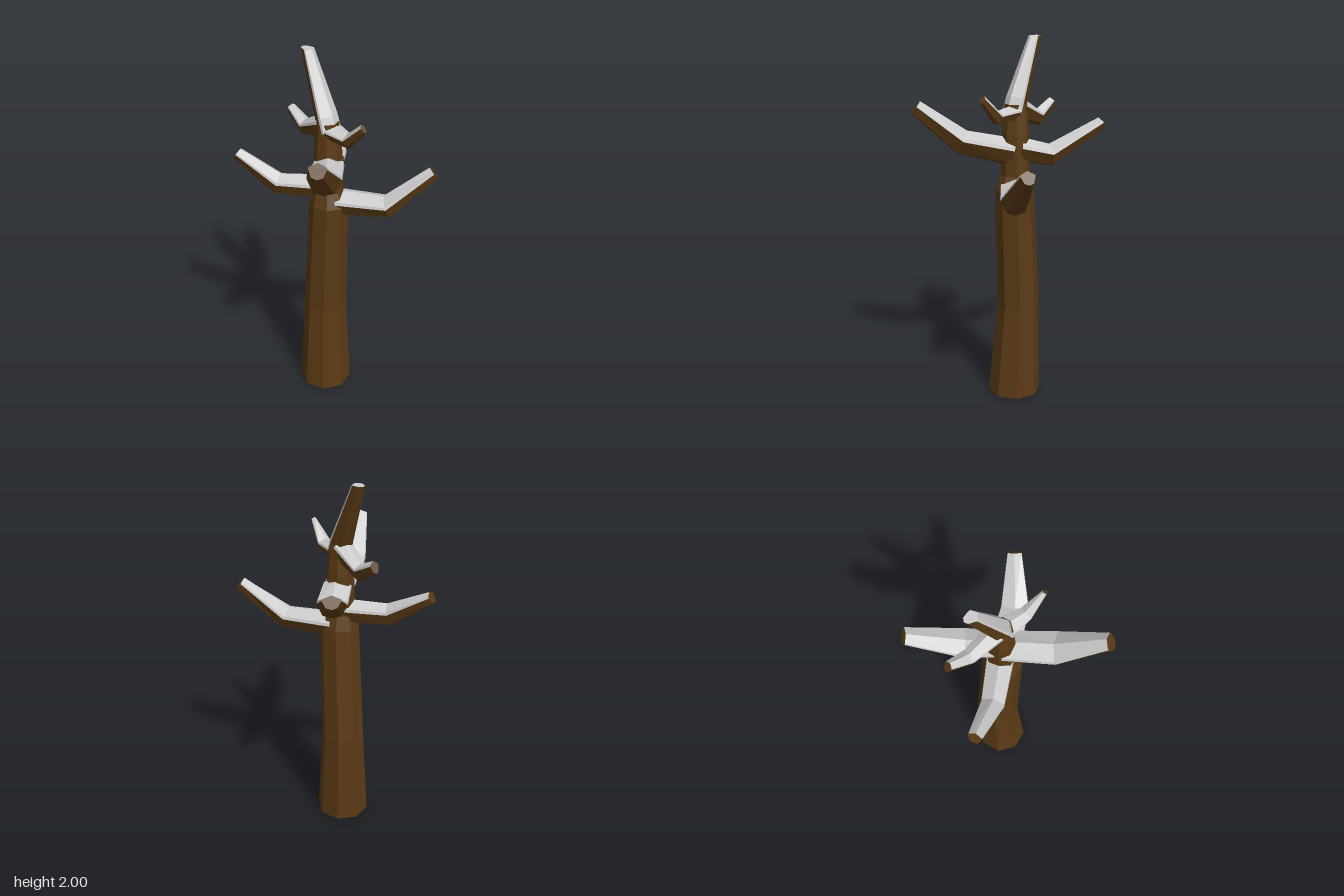
import * as THREE from 'three';

const bark = new THREE.MeshStandardMaterial({ color: 0x5a3a15, flatShading: true });
const snow = new THREE.MeshStandardMaterial({ color: 0xcccccc, flatShading: true });

// Skins a stack of rings; isSnow(i) decides which side strips are snowy.
function loft(name, rings, isSnow, snowyEnd = false) {
  const faces = { bark: [], snow: [] };
  const add = (snowy, ...pts) => pts.forEach(p => faces[snowy ? 'snow' : 'bark'].push(p.x, p.y, p.z));
  const n = rings[0].length;
  for (let r = 0; r < rings.length - 1; r++) {
    const a = rings[r], b = rings[r + 1];
    for (let i = 0; i < n; i++) {
      const j = (i + 1) % n;
      add(isSnow(i), a[i], a[j], b[j]);
      add(isSnow(i), a[i], b[j], b[i]);
    }
  }
  const first = rings[0], last = rings[rings.length - 1];
  for (let i = 1; i < n - 1; i++) {
    add(false, first[0], first[i + 1], first[i]);
    add(snowyEnd, last[0], last[i], last[i + 1]);
  }
  const group = new THREE.Group();
  group.name = name;
  for (const [kind, pos] of Object.entries(faces)) {
    if (!pos.length) continue;
    const geo = new THREE.BufferGeometry();
    geo.setAttribute('position', new THREE.Float32BufferAttribute(pos, 3));
    geo.computeVertexNormals();
    const mesh = new THREE.Mesh(geo, kind === 'snow' ? snow : bark);
    mesh.name = name + (kind === 'snow' ? 'Snow' : 'Bark');
    group.add(mesh);
  }
  return group;
}

// Branch cross-section (side, up), counter-clockwise; the first four strips carry snow.
const section = [[1, 0.25], [0.95, 0.5], [0, 1], [-0.95, 0.5], [-1, 0.25], [-0.62, -0.75], [0, -1], [0.62, -0.75]];

// Stations are [x, y, z, half width, half height].
function branch(name, stations, flatTopY) {
  const pts = stations.map(s => new THREE.Vector3(s[0], s[1], s[2]));
  const step = k => pts[k + 1].clone().sub(pts[k]).normalize();
  const rings = stations.map(([, , , w, h], k) => {
    const dir = new THREE.Vector3();
    if (k > 0) dir.add(step(k - 1));
    if (k < pts.length - 1) dir.add(step(k));
    dir.normalize();
    const side = new THREE.Vector3(0, 1, 0).cross(dir).normalize();
    const up = dir.clone().cross(side);
    return section.map(([u, v]) => {
      const p = pts[k].clone().addScaledVector(side, u * w).addScaledVector(up, v * h);
      // slide the last ring along the branch to a level cut
      if (flatTopY && k === pts.length - 1) p.addScaledVector(dir, (flatTopY - p.y) / dir.y);
      return p;
    });
  });
  return loft(name, rings, i => i < 4, !!flatTopY);
}

export function createModel() {
  const tree = new THREE.Group();
  tree.name = 'bareTree';

  // Eight-sided trunk: [y, centre x, centre z, radius]
  const trunk = [
    [0, -0.022, -0.007, 0.147],
    [0.53, -0.008, -0.026, 0.118],
    [1.2, -0.008, 0.006, 0.105],
    [1.28, -0.008, 0, 0.08],
    [1.5, -0.006, -0.002, 0.073],
    [1.66, -0.008, -0.005, 0.06],
  ].map(([y, cx, cz, r]) => Array.from({ length: 8 }, (_, i) => {
    const a = i * Math.PI / 4;
    return new THREE.Vector3(cx + r * Math.cos(a), y, cz - r * Math.sin(a));
  }));
  tree.add(loft('trunk', trunk, () => false));

  // Leaning top shoot with a level cut
  tree.add(branch('topShoot', [
    [-0.008, 1.61, 0.01, 0.06, 0.055],
    [-0.008, 1.68, -0.018, 0.059, 0.057],
    [-0.006, 2.0, -0.163, 0.03, 0.034],
  ], 2.0));

  // Four large branches
  tree.add(branch('lowerFrontLeftBranch', [
    [0.015, 1.205, 0.02, 0.085, 0.07],
    [0.19, 1.205, 0.243, 0.076, 0.06],
    [0.383, 1.395, 0.383, 0.037, 0.038],
  ]));
  tree.add(branch('upperFrontRightBranch', [
    [-0.015, 1.405, 0.015, 0.08, 0.075],
    [-0.203, 1.465, 0.205, 0.088, 0.066],
    [-0.374, 1.65, 0.367, 0.044, 0.04],
  ]));
  tree.add(branch('lowerBackRightBranch', [
    [-0.02, 1.29, -0.015, 0.07, 0.065],
    [-0.192, 1.293, -0.195, 0.06, 0.06],
    [-0.308, 1.43, -0.388, 0.036, 0.032],
  ]));
  tree.add(branch('upperBackLeftBranch', [
    [0.015, 1.42, -0.01, 0.075, 0.065],
    [0.127, 1.385, -0.132, 0.08, 0.06],
    [0.283, 1.54, -0.376, 0.046, 0.034],
  ]));

  // Two small branches near the top
  tree.add(branch('smallFrontBranch', [
    [-0.005, 1.615, 0.02, 0.06, 0.042],
    [-0.005, 1.607, 0.155, 0.038, 0.036],
    [-0.005, 1.712, 0.263, 0.013, 0.024],
  ]));
  tree.add(branch('smallBackBranch', [
    [-0.005, 1.635, -0.02, 0.055, 0.062],
    [-0.005, 1.565, -0.19, 0.04, 0.045],
    [-0.005, 1.632, -0.312, 0.024, 0.032],
  ]));
  return tree;
}
